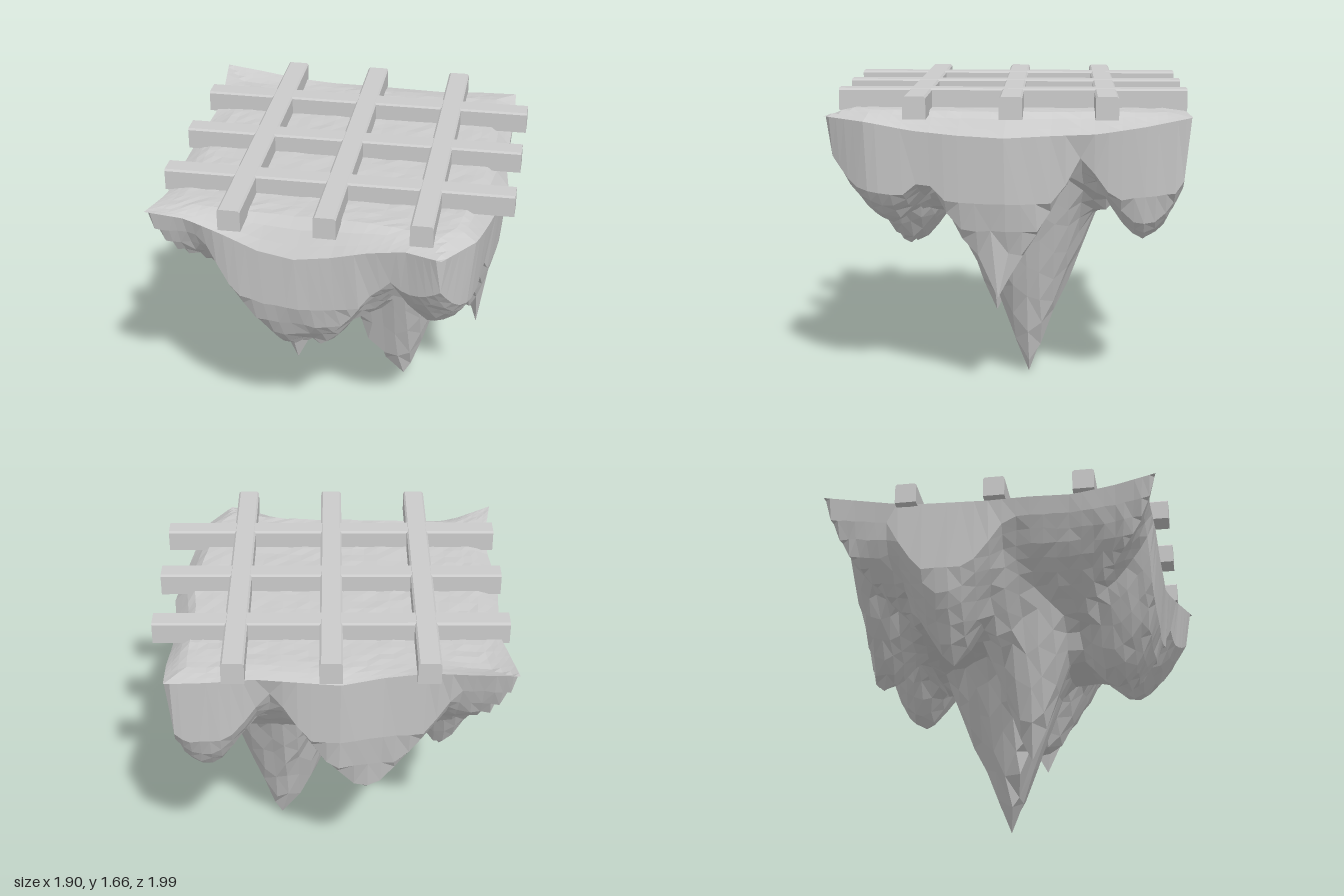
import * as THREE from 'three';

const material = new THREE.MeshStandardMaterial({ color: 0xcccccc, flatShading: true });
const { lerp } = THREE.MathUtils;

// Small seeded noise in -1..1
let seed = 7;
const noise = () => {
  seed = (seed * 16807) % 2147483647;
  return (seed / 2147483647) * 2 - 1;
};

// Piecewise linear lookup of evenly spaced values, t in -1..1
function sample(values, t) {
  const f = ((t + 1) / 2) * (values.length - 1);
  const i = Math.min(Math.floor(f), values.length - 2);
  return lerp(values[i], values[i + 1], f - i);
}

// Outline of the slab, edge by edge
const leftX = [-0.94, -0.91, -0.88, -0.9, -0.92, -0.92, -0.9, -0.91, -0.95];
const rightX = [0.86, 0.87, 0.86, 0.86, 0.89, 0.86, 0.82, 0.78, 0.62];
const backZ = [-1, -0.97, -0.93, -0.94, -0.98, -0.96, -0.94, -0.97, -0.98];
const frontZ = [0.86, 0.81, 0.83, 0.84, 0.85, 0.85, 0.87, 0.91, 0.99];
// Height of the rim, edge by edge
const rimLeft = [1.6, 1.55, 1.51, 1.52, 1.58];
const rimRight = [1.54, 1.49, 1.45, 1.44, 1.43, 1.44, 1.46, 1.5, 1.51];
const rimBack = [1.6, 1.57, 1.53, 1.54, 1.54];
const rimFront = [1.58, 1.53, 1.47, 1.39, 1.36, 1.39, 1.45, 1.5, 1.51];

// Hanging points: x, z, tip height, reach, roundness
const points = [
  [0.31, -0.12, 0.0, 0.5, 1],
  [0.2, -0.1, 0.12, 0.44, 1],
  [0.1, -0.04, 0.32, 0.4, 1],
  [0.27, -0.27, 0.42, 0.4, 1.1],
  [-0.31, 0.09, 0.2, 0.45, 1],
  [-0.18, 0.08, 0.36, 0.4, 1],
  [-0.04, 0.05, 0.46, 0.38, 1.1],
  [0.75, 0.04, 0.54, 0.5, 1],
  [-0.24, 0.57, 0.65, 0.5, 1.4],
  [-0.06, 0.59, 0.67, 0.52, 1.2],
  [0.2, 0.58, 0.9, 0.4, 1.3],
  [0.57, 0.62, 0.92, 0.42, 1.4],
  [-0.61, -0.3, 0.66, 0.46, 1.1],
  [-0.54, -0.05, 0.79, 0.36, 1.1],
  [-0.17, -0.8, 0.75, 0.52, 1.3],
  [0.68, -0.74, 0.86, 0.4, 1.3],
];

function rimHeight(u, v) {
  if (Math.abs(u) > Math.abs(v)) return sample(u < 0 ? rimLeft : rimRight, v);
  return sample(v < 0 ? rimBack : rimFront, u);
}

// Depth of the underside at distance e from the edge
function depthAt(x, z, e) {
  let depth = 0.54 * Math.pow(Math.min(1, e / 0.42), 0.7);
  for (const [px, pz, tip, reach, power] of points) {
    const d = Math.max(0, Math.hypot(x - px, z - pz) - 0.02) / reach;
    if (d < 1) depth = Math.max(depth, (1.5 - tip) * (1 - Math.pow(d, power)));
  }
  return Math.min(depth, 2.1 * Math.sqrt(e));
}

function rockGeometry() {
  const n = 30;
  const row = n + 1;
  const top = [];
  const bottom = [];
  const spread = (i) => {
    const t = (i / n) * 2 - 1;
    return t * (1.25 - 0.25 * t * t); // finer towards the rim
  };
  for (let j = 0; j <= n; j++) {
    for (let i = 0; i <= n; i++) {
      const u = spread(i);
      const v = spread(j);
      const e = 0.9 * (1 - Math.max(Math.abs(u), Math.abs(v)));
      const inside = Math.min(1, e / 0.1);
      const x = lerp(sample(leftX, v), sample(rightX, v), (u + 1) / 2);
      const z = lerp(sample(backZ, u), sample(frontZ, u), (v + 1) / 2);
      const rim = rimHeight(u, v);
      top.push([x, lerp(rim, 1.555, Math.min(1, e / 0.1)) + 0.003 * noise() * inside, z]);
      const bx = x + 0.008 * noise() * inside;
      const bz = z + 0.008 * noise() * inside;
      const drop = depthAt(bx, bz, e) + 0.01 * noise() * inside;
      bottom.push([bx, Math.max(0, lerp(rim, 1.5, inside) - drop), bz]);
    }
  }
  // Pull the nearest underside vertex onto each tip
  for (const [px, pz, tip] of points) {
    const distance = (p) => Math.hypot(p[0] - px, p[2] - pz);
    const nearest = bottom.reduce((a, b) => (distance(b) < distance(a) ? b : a));
    nearest.splice(0, 3, px, Math.min(tip, nearest[1]), pz);
  }
  const index = [];
  const offset = row * row;
  for (let j = 0; j < n; j++) {
    for (let i = 0; i < n; i++) {
      const a = j * row + i;
      const b = a + 1;
      const c = a + row;
      const d = c + 1;
      index.push(a, c, b, b, c, d);
      // Underside quads split along the flatter diagonal
      const y = (k) => bottom[k][1];
      const split = Math.abs(y(a) - y(d)) < Math.abs(y(b) - y(c)) ? [a, b, d, a, d, c] : [a, b, c, b, d, c];
      index.push(...split.map((k) => k + offset));
    }
  }
  const geometry = new THREE.BufferGeometry();
  geometry.setAttribute('position', new THREE.Float32BufferAttribute([...top, ...bottom].flat(), 3));
  geometry.setIndex(index);
  geometry.computeVertexNormals();
  return geometry;
}

// Square bar with chamfered upper edges, running along z
function barGeometry(length) {
  const h = 0.06;
  const c = 0.01;
  const shape = new THREE.Shape([
    new THREE.Vector2(-h, -h),
    new THREE.Vector2(h, -h),
    new THREE.Vector2(h, h - c),
    new THREE.Vector2(h - c, h),
    new THREE.Vector2(-h + c, h),
    new THREE.Vector2(-h, h - c),
  ]);
  return new THREE.ExtrudeGeometry(shape, { depth: length, bevelEnabled: false }).translate(0, 0, -length / 2);
}

export function createModel() {
  const model = new THREE.Group();
  model.name = 'hangingRockWithGrate';

  // Rock slab with hanging points
  const rock = new THREE.Mesh(rockGeometry(), material);
  rock.name = 'rock';
  model.add(rock);

  // Crossed bars lying on the rock
  const grate = new THREE.Group();
  grate.name = 'grate';
  const bar = barGeometry(1.88);
  for (let i = -1; i <= 1; i++) {
    const longBar = new THREE.Mesh(bar, material);
    longBar.name = 'longBar';
    longBar.position.set(0.01 + i * 0.498, 1.597, -0.033);
    const crossBar = new THREE.Mesh(bar, material);
    crossBar.name = 'crossBar';
    crossBar.rotation.y = Math.PI / 2;
    crossBar.position.set(0.01, 1.595, -0.035 + i * 0.498);
    grate.add(longBar, crossBar);
  }
  model.add(grate);
  return model;
}
